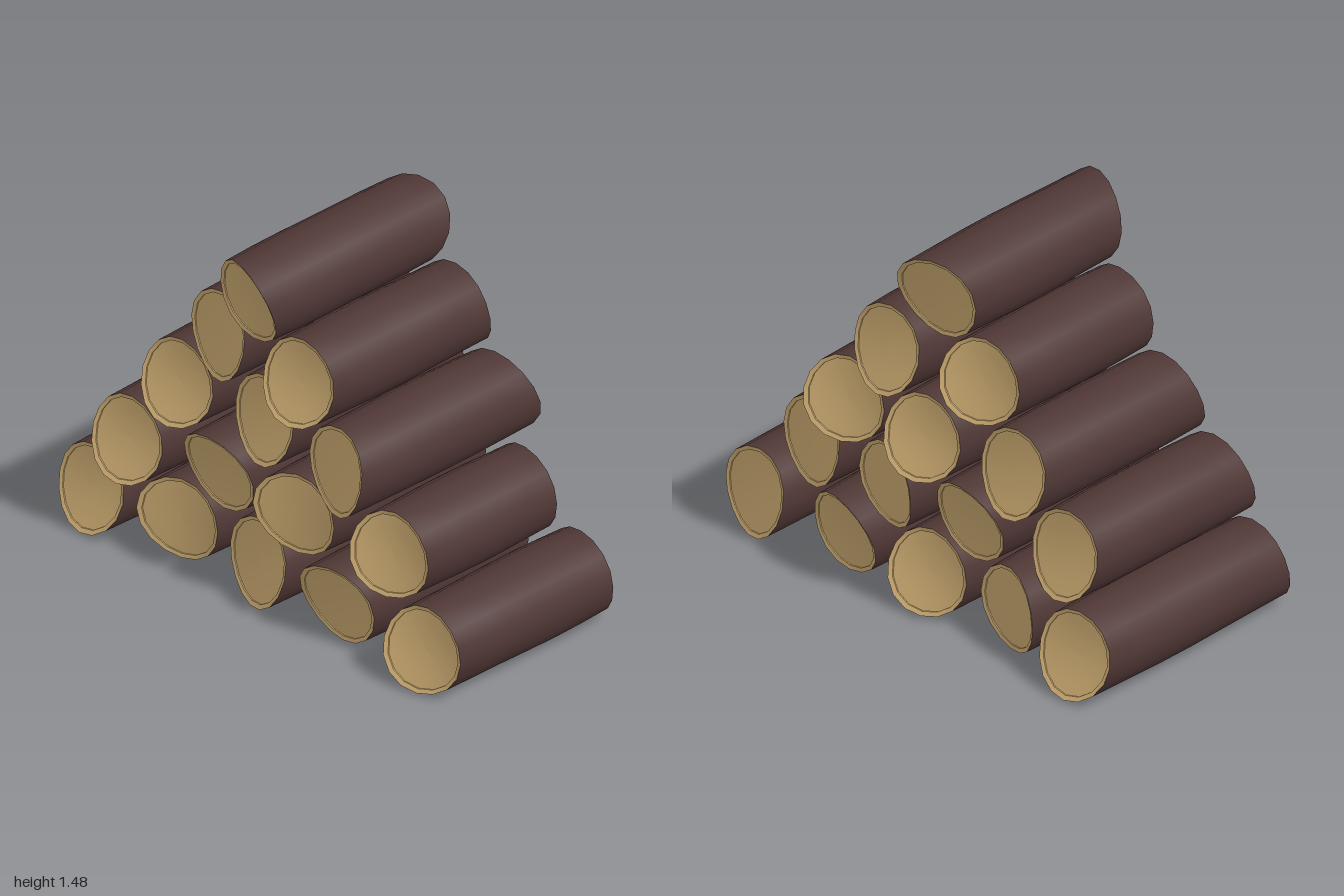
import * as THREE from 'three';

const SIDES = 16, RADIUS = 0.168, SCOOP = 0.085;

// Closed loops of points joined into a smooth skin
function loft(loops) {
  const pos = loops.flat(2), index = [];
  for (let i = 0; i < loops.length - 1; i++) {
    for (let j = 0; j < SIDES; j++) {
      const k = (j + 1) % SIDES;
      const a = i * SIDES + j, b = i * SIDES + k, c = a + SIDES, d = b + SIDES;
      index.push(a, c, b, b, c, d);
    }
  }
  const g = new THREE.BufferGeometry();
  g.setAttribute('position', new THREE.Float32BufferAttribute(pos, 3));
  g.setIndex(index);
  g.computeVertexNormals();
  return g;
}

export function createModel() {
  const bark = new THREE.MeshStandardMaterial({ color: 0x4f3735 });
  bark.name = 'bark brown';
  const wood = new THREE.MeshStandardMaterial({ color: 0xd0ae74 });
  wood.name = 'cut wood';

  // Log: shortest half length, and the angle (from +z towards +y) where both ends reach out furthest
  function makeLog(half, tipDegrees, seed) {
    const tip = THREE.MathUtils.degToRad(tipDegrees);
    const loop = (radius, xAt, wobble = 0) => Array.from({ length: SIDES }, (_, j) => {
      const a = (j / SIDES) * Math.PI * 2;
      const r = radius + wobble * Math.sin(2 * a + seed * 1.7);
      return [xAt(a, r), r * Math.sin(a), r * Math.cos(a)];
    });
    // Scooped cut, steeper towards the tip
    const cut = (a, r) => half + SCOOP * ((1 + Math.cos(a - tip) * r / RADIUS) / 2) ** 2;

    const log = new THREE.Group();
    const add = (name, loops, material) => {
      const mesh = new THREE.Mesh(loft(loops), material);
      mesh.name = name;
      log.add(mesh);
    };

    // Bark, slightly swollen and uneven between the ends
    const body = [];
    for (let i = 0; i <= 6; i++) {
      const t = i / 3 - 1, swell = 1 - t * t;
      body.push(loop(RADIUS + 0.006 * swell, (a, r) => t * cut(a, RADIUS), 0.003 * swell * Math.sin(i + seed)));
    }
    add('bark', body, bark);

    // Cut ends: a bevelled rim and a scooped face
    for (const side of [-1, 1]) {
      const inner = RADIUS - 0.016;
      const rim = [
        loop(RADIUS, (a, r) => side * cut(a, r)),
        loop(inner, (a, r) => side * (cut(a, r) - 0.003)),
      ];
      const face = [1, 0.75, 0.5, 0.25, 0].map((f) =>
        loop(inner * f, (a, r) => side * (cut(a, r) - 0.008)));
      const step = [rim[1], face[0]];
      for (const [name, loops] of [['endRim', rim], ['rimStep', step], ['endFace', face]]) {
        add(name, side > 0 ? loops : loops.slice().reverse(), wood);
      }
    }
    return log;
  }

  // Rows from the ground up: z, y, tip angle, x shift, half length
  const rows = [
    [[0.83, 0.185, -135, 0, 0.385], [0.385, 0.19, 120, 0, 0.385], [-0.03, 0.185, -50, 0, 0.385],
      [-0.435, 0.19, 180, 0, 0.385], [-0.825, 0.185, -85, 0, 0.46]],
    [[0.6, 0.465, -145, 0, 0.325], [0.17, 0.475, 175, 0, 0.385], [-0.235, 0.48, 100, 0, 0.385],
      [-0.64, 0.47, -105, -0.07, 0.385]],
    [[0.38, 0.75, -35, 0, 0.385], [-0.04, 0.77, -60, 0.04, 0.385], [-0.45, 0.765, -110, 0, 0.385]],
    [[0.18, 1.04, -105, 0, 0.385], [-0.25, 1.05, -40, -0.015, 0.355]],
    [[-0.03, 1.315, 50, -0.05, 0.385]],
  ];

  const pile = new THREE.Group();
  pile.name = 'logPile';
  rows.forEach((row, i) => row.forEach(([z, y, tip, x, half], j) => {
    const log = makeLog(half, tip, i * 5 + j);
    log.name = `logRow${i + 1}Number${j + 1}`;
    log.position.set(x, y, z);
    pile.add(log);
  }));
  return pile;
}
